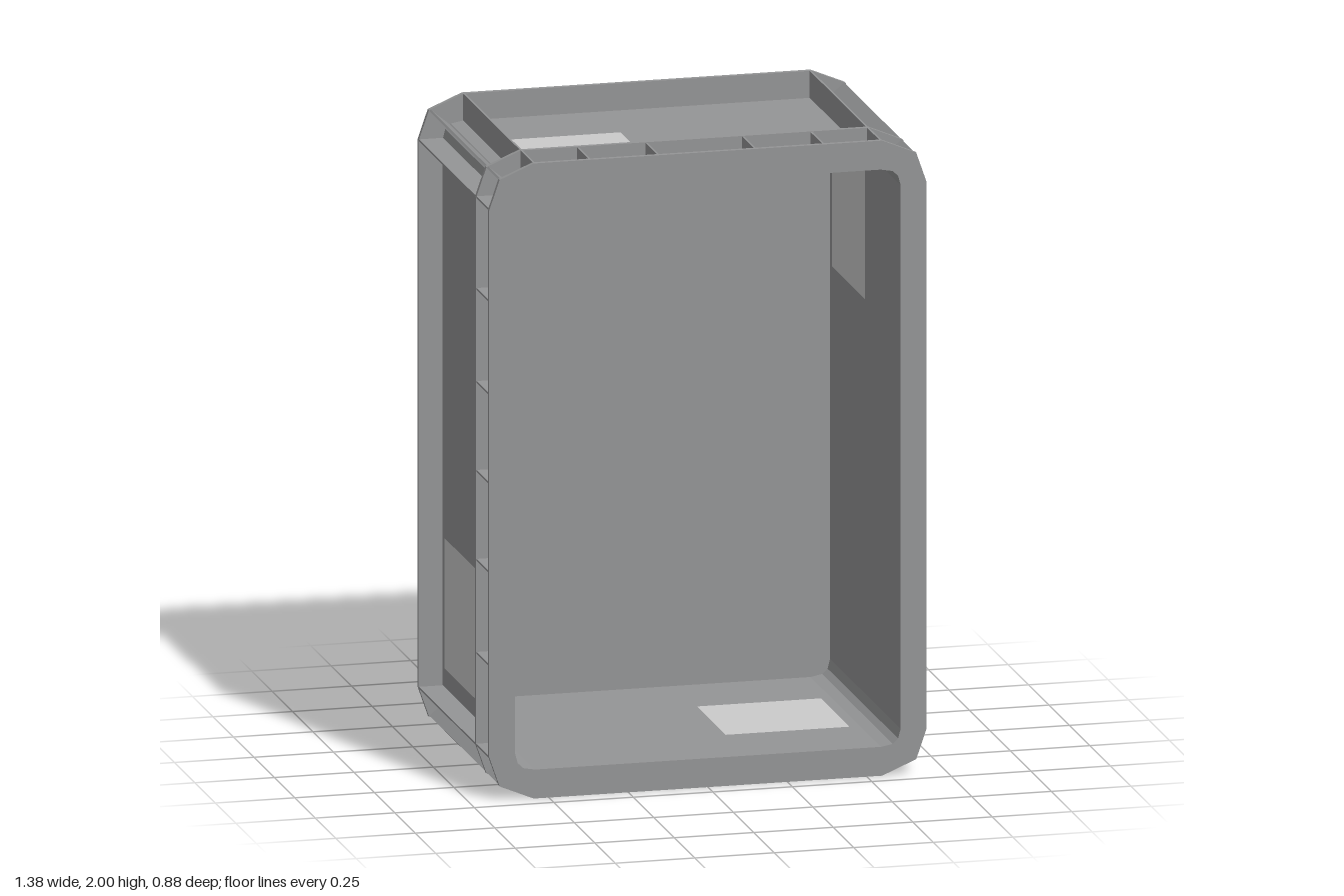
import * as THREE from 'three';

const MID = 1; // height of the crate's centre

// closed outline mirrored from the points of one corner (x, y measured from the centre)
function outline(corner) {
  const rev = [...corner].reverse();
  const pts = [
    ...corner,
    ...rev.map(([x, y]) => [-x, y]),
    ...corner.map(([x, y]) => [-x, -y]),
    ...rev.map(([x, y]) => [x, -y]),
  ];
  return pts.map(([x, y]) => new THREE.Vector2(x, y));
}

const RIM = [[0.688, 0.86], [0.655, 0.955], [0.548, 1]];
const WALL = [[0.612, 0.862], [0.604, 0.892], [0.587, 0.908], [0.55, 0.915]];
const CAVITY = WALL.map(([x, y]) => [x - 0.006, y - 0.006]);

export function createModel() {
  const crate = new THREE.Group();
  crate.name = 'crate';
  const plastic = new THREE.MeshStandardMaterial({ color: 0x949596, flatShading: true });
  const paper = new THREE.MeshStandardMaterial({ color: 0xcccccc, side: THREE.DoubleSide });

  // flat plate or ring, extruded from z0 to z1
  function slab(name, corner, hole, z0, z1) {
    const shape = new THREE.Shape(outline(corner));
    if (hole) shape.holes.push(new THREE.Path(outline(hole)));
    const geo = new THREE.ExtrudeGeometry(shape, { depth: z1 - z0, bevelEnabled: false });
    const mesh = new THREE.Mesh(geo, plastic);
    mesh.name = name;
    mesh.position.set(0, MID, z0);
    crate.add(mesh);
  }

  // thin rib standing on the wall between two points of the cross-section
  function rib(name, [x0, y0], [x1, y1], z0, z1) {
    const geo = new THREE.BoxGeometry(Math.hypot(x1 - x0, y1 - y0), 0.006, z1 - z0);
    const mesh = new THREE.Mesh(geo, plastic);
    mesh.name = name;
    mesh.position.set((x0 + x1) / 2, MID + (y0 + y1) / 2, (z0 + z1) / 2);
    mesh.rotation.z = Math.atan2(y1 - y0, x1 - x0);
    crate.add(mesh);
  }

  slab('walls', WALL, CAVITY, -0.43, 0.43);
  slab('basePlate', RIM, null, -0.438, -0.422);
  slab('lowerFlange', RIM, WALL, 0.265, 0.28);
  slab('openingRim', RIM, CAVITY, 0.425, 0.44);

  for (const s of [-1, 1]) {
    for (const t of [-1, 1]) {
      // three long ribs fanning out from each corner
      const fan = [
        [[0.545, 0.912], [0.545, 1]],
        [[0.588, 0.9], [0.652, 0.954]],
        [[0.61, 0.862], [0.687, 0.862]],
      ];
      for (const [[x0, y0], [x1, y1]] of fan) {
        rib('cornerRib', [s * x0, t * y0], [s * x1, t * y1], -0.425, 0.428);
      }
      // short ribs bracing the band below the rim, top and bottom
      for (const x of [0.152, 0.367]) {
        rib('rimRib', [s * x, t * 0.912], [s * x, t * 0.998], 0.275, 0.428);
      }
    }
    // short ribs of the band along the sides
    for (const y of [-0.573, -0.28, 0, 0.28, 0.573]) {
      rib('rimRib', [s * 0.61, y], [s * 0.686, y], 0.275, 0.428);
    }
  }

  // labels on each long wall, outside and inside
  function label(name, w, h, x, y, z, rx, ry) {
    const mesh = new THREE.Mesh(new THREE.PlaneGeometry(w, h), paper);
    mesh.name = name;
    mesh.position.set(x, MID + y, z);
    mesh.rotation.set(rx, ry, 0);
    crate.add(mesh);
  }
  for (const s of [-1, 1]) {
    for (const [x, y] of [[0.614, 0.917], [0.604, 0.907]]) {
      label('sideLabel', 0.4, 0.41, s * x, s * 0.593, -0.19, 0, s * Math.PI / 2);
      label('endLabel', 0.39, 0.35, -s * 0.315, s * y, 0.015, -s * Math.PI / 2, 0);
    }
  }
  return crate;
}
